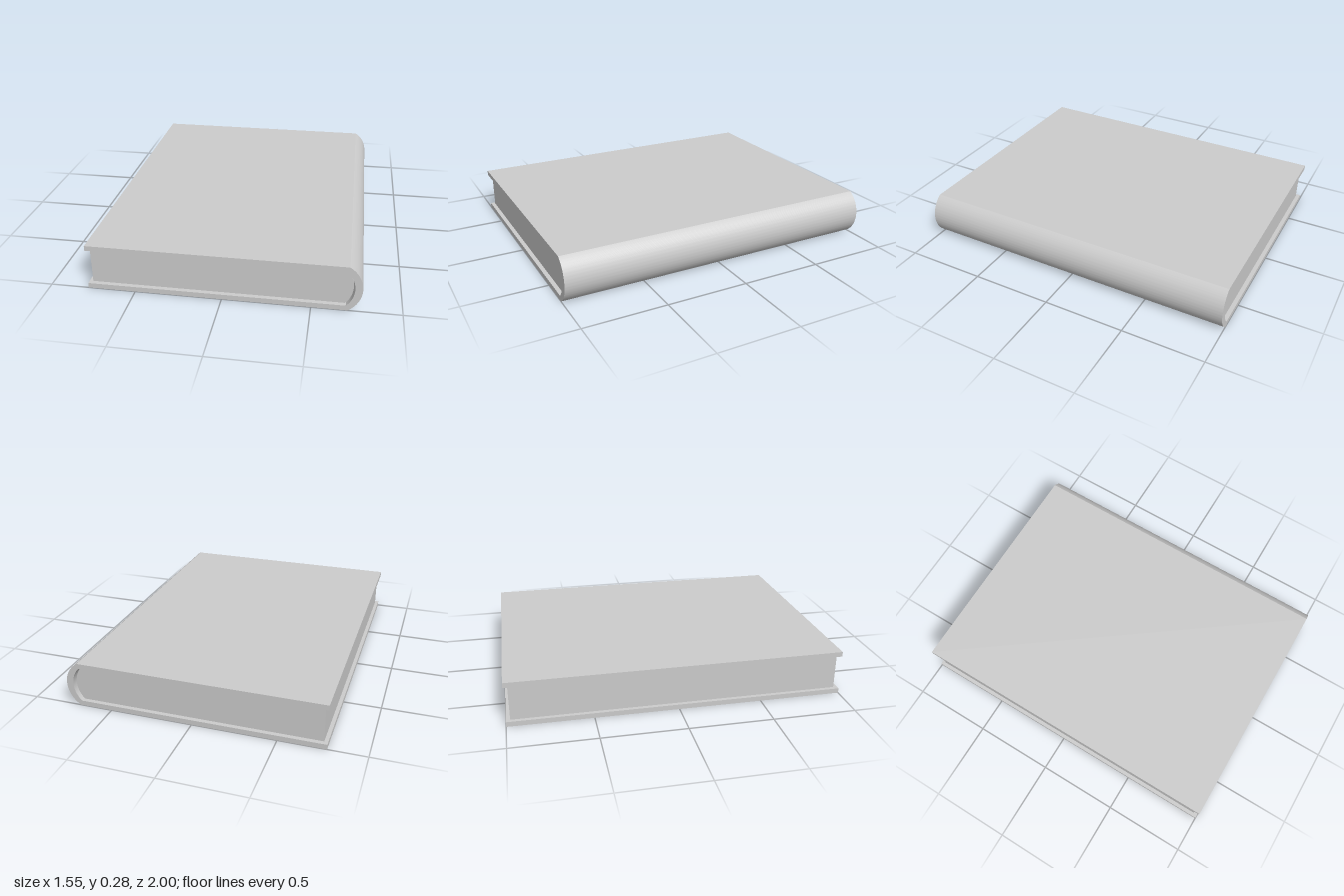
import * as THREE from 'three';
import { toCreasedNormals } from 'three/addons/utils/BufferGeometryUtils.js';

const MID = 0.1375; // half of the book's thickness
const HALF_W = 0.777;

// Adds an arc bulging to +x: chord at x, half height h, bulge s
function bulge(shape, x, h, s, downward) {
  const r = (h * h + s * s) / (2 * s);
  const a = Math.asin(h / r);
  shape.absarc(x + s - r, MID, r, downward ? a : -a, downward ? -a : a, downward);
}

// Extrudes a profile along z, centred, with smooth curves and sharp edges
function extrudeMesh(name, shape, length, material) {
  const geometry = new THREE.ExtrudeGeometry(shape, { depth: length, bevelEnabled: false, curveSegments: 24 });
  geometry.translate(0, 0, -length / 2);
  const mesh = new THREE.Mesh(toCreasedNormals(geometry, 0.4), material);
  mesh.name = name;
  return mesh;
}

export function createModel() {
  const group = new THREE.Group();
  group.name = 'book';
  const material = new THREE.MeshStandardMaterial({ color: 0xcccccc });

  // Cover: two boards joined by a rounded spine, as one C-shaped profile
  const board = 0.03;
  const cover = new THREE.Shape();
  cover.moveTo(-HALF_W, 2 * MID);
  cover.lineTo(0.7, 2 * MID);
  bulge(cover, 0.7, MID, HALF_W - 0.7, true);
  cover.lineTo(-HALF_W, 0);
  cover.lineTo(-HALF_W, board);
  cover.lineTo(0.69, board);
  bulge(cover, 0.69, MID - board, 0.045, false);
  cover.lineTo(-HALF_W, 2 * MID - board);
  cover.closePath();
  group.add(extrudeMesh('cover', cover, 2, material));

  // Page block: flat fore edge, rounded back, set in from the cover edges
  const half = MID - board - 0.001;
  const pages = new THREE.Shape();
  pages.moveTo(-0.755, MID - half);
  pages.lineTo(0.685, MID - half);
  bulge(pages, 0.685, half, 0.042, false);
  pages.lineTo(-0.755, MID + half);
  pages.closePath();
  group.add(extrudeMesh('pageBlock', pages, 1.95, material));

  return group;
}
